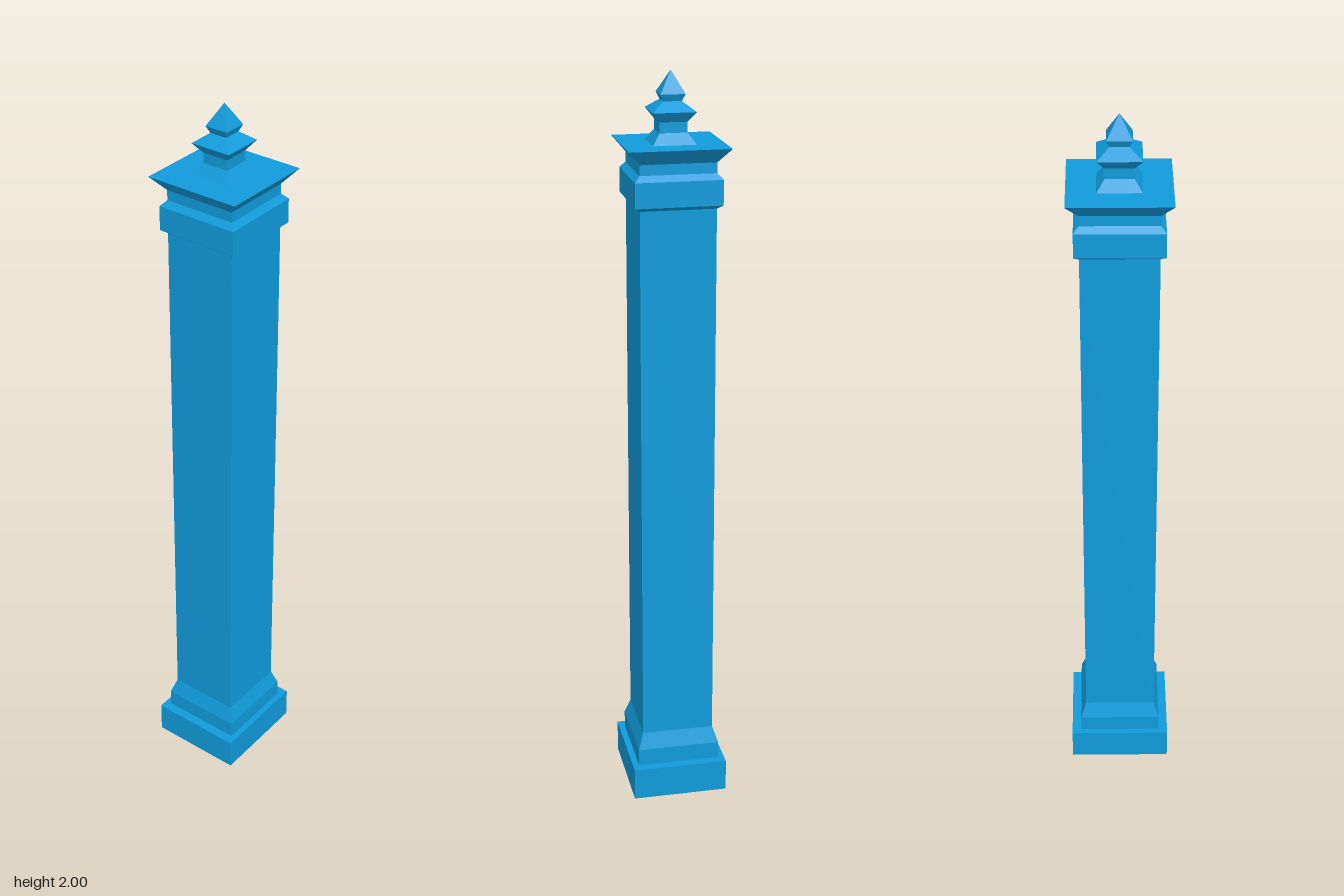
import * as THREE from 'three';

const material = new THREE.MeshStandardMaterial({
  color: 0x119bdb, flatShading: true, side: THREE.DoubleSide,
});

// Square turned part: profile lists [half width, height] from bottom to top.
function squarePart(name, profile) {
  const points = profile.map(([half, y]) => new THREE.Vector2(half * Math.SQRT2, y));
  const geometry = new THREE.LatheGeometry(points, 4, Math.PI / 4).toNonIndexed();
  geometry.computeVertexNormals();
  const mesh = new THREE.Mesh(geometry, material);
  mesh.name = name;
  return mesh;
}

export function createModel() {
  const group = new THREE.Group();
  group.name = 'squarePillar';

  // Base block, open underneath and slightly wider than deep
  const base = squarePart('baseBlock', [[0.14, 0], [0.14, 0.09], [0, 0.09]]);
  base.scale.z = 0.131 / 0.14;

  group.add(
    base,
    // Sloped plinth
    squarePart('plinth', [[0.114, 0.09], [0.114, 0.138], [0.099, 0.183]]),
    // Plain shaft
    squarePart('shaft', [[0.099, 0.183], [0.099, 1.665]]),
    // Collar band with bevelled edges, then the neck
    squarePart('collar', [[0.099, 1.665], [0.113, 1.675], [0.113, 1.74], [0.099, 1.755]]),
    squarePart('neck', [[0.099, 1.755], [0.099, 1.782]]),
    // Flared cap with a flat top
    squarePart('cap', [[0.099, 1.782], [0.131, 1.82], [0, 1.82]]),
    // Finial: foot, stem, flared tier and pointed tip
    squarePart('finialFoot', [[0.056, 1.82], [0.036, 1.848]]),
    squarePart('finialStem', [[0.036, 1.848], [0.036, 1.875]]),
    squarePart('finialTier', [[0.036, 1.875], [0.056, 1.901], [0.024, 1.925]]),
    squarePart('finialTip', [[0.024, 1.925], [0.032, 1.943], [0, 2]]),
  );
  return group;
}
